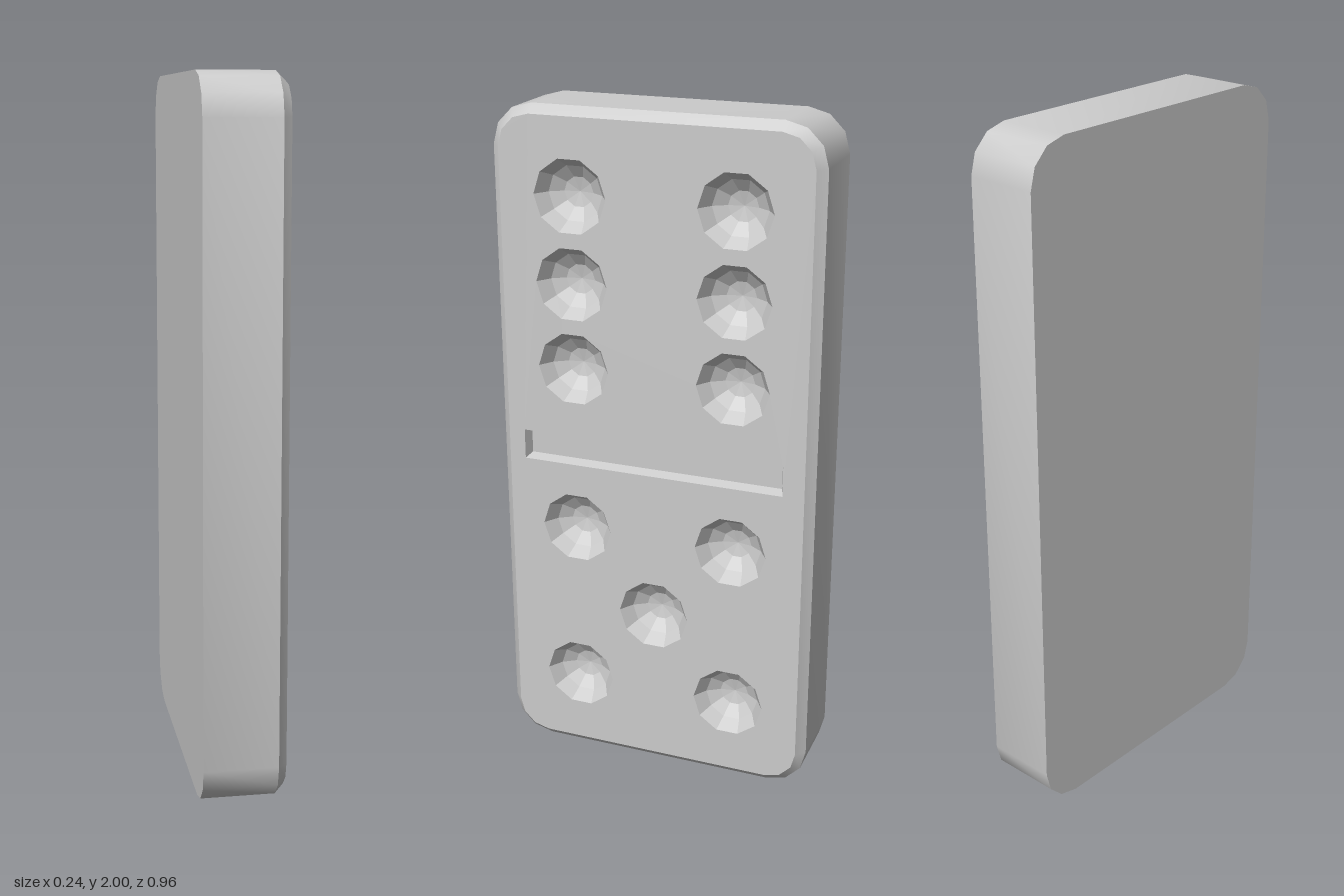
import * as THREE from 'three';
import { toCreasedNormals } from 'three/addons/utils/BufferGeometryUtils.js';

const W = 0.96, H = 2, R = 0.12;              // tile outline
const BACK = -0.119, SHOULDER = 0.092, FACE = 0.118, CHAMFER = 0.026;
const PIP_R = 0.108, PIP_SIDES = 10;

const smooth = new THREE.MeshStandardMaterial({ color: 0xcccccc });
const faceted = new THREE.MeshStandardMaterial({ color: 0xcccccc, flatShading: true });

// Counter-clockwise rounded rectangle, three segments per corner
function outline(inset) {
  const pts = [], r = R - inset;
  const corners = [[1, 1], [-1, 1], [-1, -1], [1, -1]];
  corners.forEach(([sx, sy], c) => {
    for (let i = 0; i <= 3; i++) {
      const a = (c + i / 3) * Math.PI / 2;
      pts.push(new THREE.Vector2(
        sx * (W / 2 - R) + r * Math.cos(a),
        H / 2 + sy * (H / 2 - R) + r * Math.sin(a)));
    }
  });
  return pts;
}

// Counter-clockwise rectangle for the dividing groove
function grooveRect(inset) {
  const x0 = -0.405 + inset, x1 = 0.39 - inset, y0 = 0.957 + inset, y1 = 1.047 - inset;
  return [[x0, y0], [x1, y0], [x1, y1], [x0, y1]].map(p => new THREE.Vector2(...p));
}

// Walls joining closed rings given as [points, z]
function loft(rings) {
  const pos = [];
  for (let k = 0; k + 1 < rings.length; k++) {
    const [a, za] = rings[k], [b, zb] = rings[k + 1];
    for (let i = 0; i < a.length; i++) {
      const j = (i + 1) % a.length;
      const A = [a[i].x, a[i].y, za], B = [a[j].x, a[j].y, za];
      const C = [b[j].x, b[j].y, zb], D = [b[i].x, b[i].y, zb];
      pos.push(...A, ...B, ...C, ...A, ...C, ...D);
    }
  }
  const g = new THREE.BufferGeometry();
  g.setAttribute('position', new THREE.Float32BufferAttribute(pos, 3));
  return toCreasedNormals(g, 0.6);
}

// Faceted bowl: a spherical cap opening toward +z
function pipGeometry() {
  const sphereR = 0.115, rimDrop = Math.sqrt(sphereR ** 2 - PIP_R ** 2);
  const profile = [new THREE.Vector2(PIP_R, 0)];
  for (const deg of [45, 22.5, 0]) {
    const a = deg * Math.PI / 180;
    profile.push(new THREE.Vector2(sphereR * Math.sin(a), rimDrop - sphereR * Math.cos(a)));
  }
  return new THREE.LatheGeometry(profile, PIP_SIDES, Math.PI / 2).rotateX(Math.PI / 2);
}

export function createModel() {
  const model = new THREE.Group();
  model.name = 'dominoTile';
  const add = (name, geometry, material = smooth) => {
    const mesh = new THREE.Mesh(geometry, material);
    mesh.name = name;
    model.add(mesh);
    return mesh;
  };

  // Six above, five below
  const pips = [[0, 0.505]];
  for (const y of [1.755, 1.505, 1.255, 0.755, 0.255])
    for (const x of [-0.243, 0.238]) pips.push([x, y]);

  // Rim, chamfer and back
  add('edge', loft([[outline(0), BACK], [outline(0), SHOULDER], [outline(CHAMFER), FACE]]));
  add('back', new THREE.ShapeGeometry(new THREE.Shape(outline(0))).rotateY(Math.PI))
    .position.z = BACK;

  // Face pierced by the pips and groove
  const face = new THREE.Shape(outline(CHAMFER));
  face.holes.push(new THREE.Path(grooveRect(0)));
  for (const [x, y] of pips) {
    const ring = [];
    for (let i = 0; i < PIP_SIDES; i++) {
      const a = i / PIP_SIDES * Math.PI * 2;
      ring.push(new THREE.Vector2(x + PIP_R * Math.cos(a), y + PIP_R * Math.sin(a)));
    }
    face.holes.push(new THREE.Path(ring));
  }
  add('face', new THREE.ShapeGeometry(face)).position.z = FACE;

  // Pips
  const bowl = pipGeometry();
  pips.forEach(([x, y], i) => add('pip' + (i + 1), bowl, faceted).position.set(x, y, FACE));

  // Dividing groove
  const floorZ = FACE - 0.03;
  add('grooveWalls', loft([[grooveRect(0), FACE], [grooveRect(0.01), floorZ]]));
  add('grooveFloor', new THREE.ShapeGeometry(new THREE.Shape(grooveRect(0.01))))
    .position.z = floorZ;

  // Turn the pips toward +x
  model.rotation.y = Math.PI / 2;
  const root = new THREE.Group();
  root.name = 'domino';
  root.add(model);
  return root;
}
